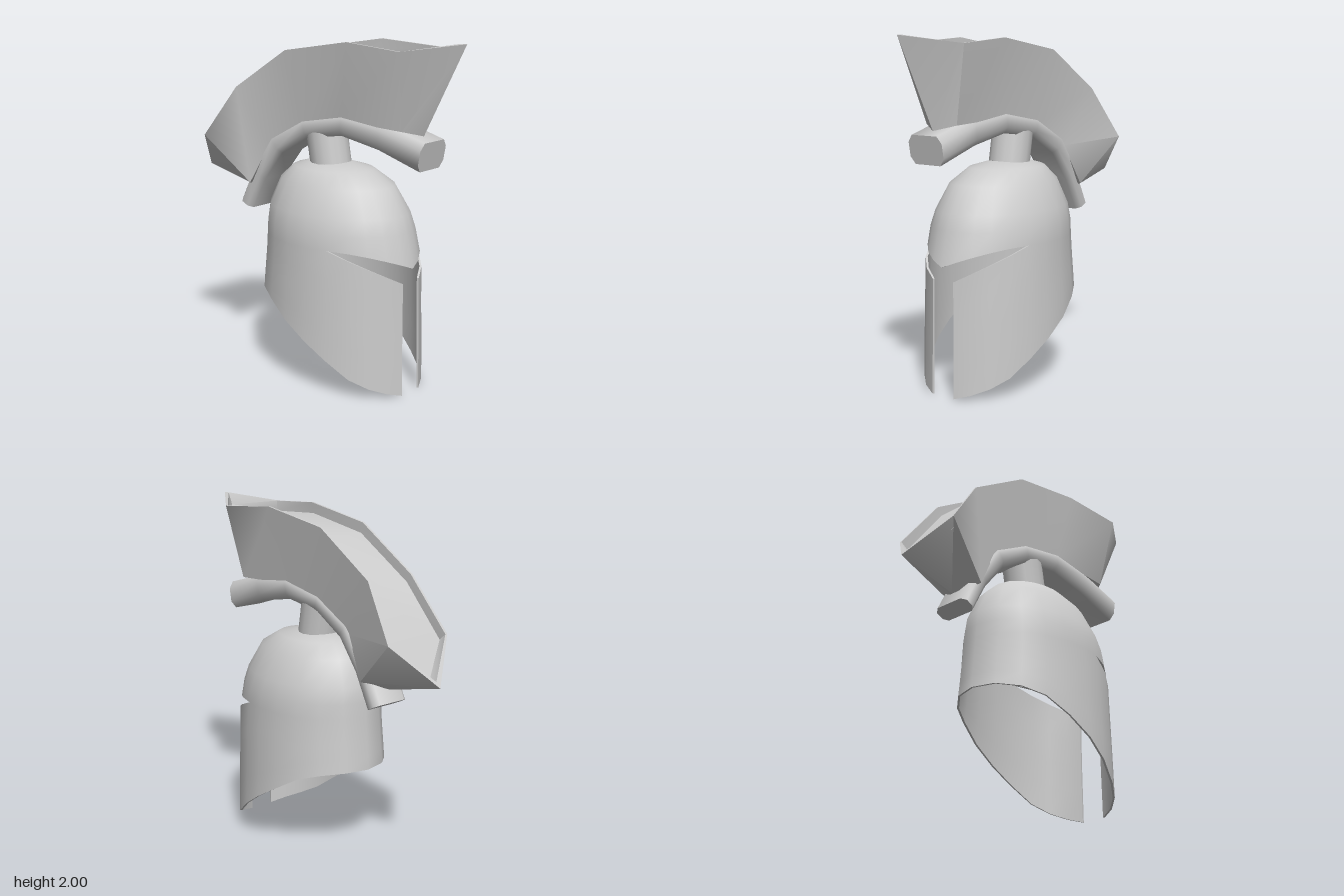
import * as THREE from 'three';
import { toCreasedNormals, mergeGeometries } from 'three/addons/utils/BufferGeometryUtils.js';

const V = (x, y, z) => new THREE.Vector3(x, y, z);
const mix = THREE.MathUtils.lerp;

// Piecewise linear lookup in rows [key, value...] with descending keys
function lookup(rows, key, col) {
  if (key >= rows[0][0]) return rows[0][col];
  for (let i = 1; i < rows.length; i++) {
    const a = rows[i - 1], b = rows[i];
    if (key >= b[0]) return mix(a[col], b[col], (key - a[0]) / (b[0] - a[0]));
  }
  return rows[rows.length - 1][col];
}

// Skins closed rings of equal point count; capped ends are filled with a strip
function loft(rings, capped) {
  const n = rings[0].length, pos = [];
  const quad = (a, b, c, d) => {
    for (const p of [a, b, c, a, c, d]) pos.push(p.x, p.y, p.z);
  };
  for (let i = 0; i < rings.length - 1; i++) {
    for (let j = 0; j < n; j++) {
      const k = (j + 1) % n;
      quad(rings[i][j], rings[i + 1][j], rings[i + 1][k], rings[i][k]);
    }
  }
  if (capped) {
    const s = rings[0], e = rings[rings.length - 1];
    for (let i = 0; i < n / 2 - 1; i++) {
      quad(s[i], s[i + 1], s[n - 2 - i], s[n - 1 - i]);
      quad(e[i], e[n - 1 - i], e[n - 2 - i], e[i + 1]);
    }
  }
  const g = new THREE.BufferGeometry();
  g.setAttribute('position', new THREE.Float32BufferAttribute(pos, 3));
  return g;
}

// Shell outline by height: y, front z, back z, half width
const SHELL = [
  [1.285, 0.04, 0.04, 0], [1.28, 0.16, -0.09, 0.1], [1.25, 0.32, -0.2, 0.19],
  [1.17, 0.46, -0.29, 0.26], [1.02, 0.555, -0.36, 0.325], [0.93, 0.585, -0.37, 0.35],
  [0.74, 0.632, -0.385, 0.36], [0.53, 0.632, -0.405, 0.37], [0.3, 0.635, -0.405, 0.38],
  [0, 0.64, -0.4, 0.385],
];
// Lower hem: z, y
const HEM = [[0.63, 0], [0.43, 0.1], [0.3, 0.2], [0.15, 0.3], [-0.17, 0.49], [-0.32, 0.53], [-0.4, 0.535]];
const THICK = 0.012, NOSE = 0.207, EYE = 1.23, TURN = Math.PI * 2;

function shellPoint(a, y, depth) {
  const f = lookup(SHELL, y, 1), b = lookup(SHELL, y, 2), w = lookup(SHELL, y, 3);
  const rz = Math.max(0, (f - b) / 2 - depth), rx = Math.max(0, w - depth);
  const drop = depth * THREE.MathUtils.clamp((y - 0.9) / 0.3, 0, 1);
  return V(rx * Math.sin(a), y - drop, (f + b) / 2 + rz * Math.cos(a));
}

function shellColumn(a, heights) {
  return [
    ...heights.map((y) => shellPoint(a, y, 0)),
    ...heights.map((y) => shellPoint(a, y, THICK)).reverse(),
  ];
}

function shellGeometry() {
  const half = [0, NOSE, 0.45, 0.7, 0.95, EYE, 1.5, 1.8, 2.1, 2.4, 2.75, Math.PI];
  const angles = [...half, ...half.slice(0, -1).reverse().map((a) => TURN - a)].reverse();
  const eyeT = (a) => Math.min(1, Math.min(a, TURN - a) / EYE);

  // Dome, ending at the pointed brow
  const dome = angles.map((a) => {
    const brow = 0.735 + 0.11 * Math.sin(eyeT(a) * Math.PI / 2);
    return shellColumn(a, [1.285, 1.28, 1.25, 1.17, 1.02, 0.93, brow]);
  });
  // Cheeks and neck guard, open at the nose
  const guard = angles.slice(1, -1).map((a) => {
    const t0 = NOSE / EYE;
    const top = mix(0.66, 0.845, (eyeT(a) - t0) / (1 - t0));
    const hem = lookup(HEM, 0.1125 + 0.5175 * Math.cos(a), 1);
    const bottom = eyeT(a) <= t0 + 1e-6 ? 0 : hem;
    return shellColumn(a, [0, 0.25, 0.5, 0.75, 1].map((t) => mix(top, bottom, t)));
  });
  return toCreasedNormals(mergeGeometries([loft(dome, false), loft(guard, true)]), 0.8);
}

// Curved bar carrying the crest: upper z, y, lower z, y
function holderGeometry() {
  const path = [
    [0.76, 1.47, 0.73, 1.31], [0.48, 1.55, 0.45, 1.4], [0.21, 1.585, 0.19, 1.45],
    [-0.09, 1.53, -0.06, 1.415], [-0.34, 1.4, -0.26, 1.3], [-0.48, 1.2, -0.4, 1.125],
    [-0.59, 0.98, -0.5, 0.935],
  ];
  const section = [[0.09, 0], [0.12, 0.25], [0.12, 0.75], [0.09, 1]];
  const loop = [...section, ...section.map(([x, t]) => [-x, t]).reverse()];
  const rings = path.map(([uz, uy, lz, ly]) => loop.map(([x, t]) => V(x, mix(ly, uy, t), mix(lz, uz, t))));
  return toCreasedNormals(loft(rings, true), 1);
}

// Crest: rim z, y, half width, then foot z, y, half width, then inward shift of the inner rim
function crestGeometry() {
  const stations = [
    [0.95, 2.0, 0, 0.69, 1.49, 0, -0.04],
    [0.66, 1.957, 0.2, 0.62, 1.52, 0.11, 0],
    [0.28, 1.985, 0.168, 0.2, 1.54, 0.11, 0],
    [-0.17, 1.915, 0.163, -0.08, 1.48, 0.11, 0],
    [-0.56, 1.675, 0.165, -0.35, 1.34, 0.11, 0],
    [-0.78, 1.37, 0.22, -0.48, 1.1, 0.14, 0],
    [-0.95, 1.14, 0, -0.57, 1.05, 0, 0.03],
  ];
  const rings = stations.map(([z, y, w, fz, fy, fw, shift]) => {
    const inner = Math.max(0, w - 0.014);
    const slope = shift > 0 ? 0.03 : 0;
    const side = [
      [fw, fy, fz],
      [w, y, z],
      [inner, y + slope, z + shift],
      [inner, mix(y, fy, 0.14) + slope, mix(z, fz, 0.14) + shift],
    ];
    return [...side.map((p) => V(...p)), ...side.map(([x, py, pz]) => V(-x, py, pz)).reverse()];
  });
  return toCreasedNormals(loft(rings, false), 0.8);
}

export function createModel() {
  const grey = new THREE.MeshStandardMaterial({ color: 0xcccccc });
  grey.name = 'lightGrey';
  const group = new THREE.Group();
  group.name = 'crestedHelmet';

  const add = (name, geometry) => {
    const mesh = new THREE.Mesh(geometry, grey);
    mesh.name = name;
    group.add(mesh);
    return mesh;
  };

  add('helmetShell', shellGeometry());
  add('crestHolder', holderGeometry());
  add('crest', crestGeometry());

  // Short post joining the holder to the dome
  const post = add('crestPost', new THREE.CylinderGeometry(0.12, 0.12, 0.22, 16));
  post.position.set(0, 1.37, 0.02);
  post.rotation.x = -0.17;
  return group;
}
